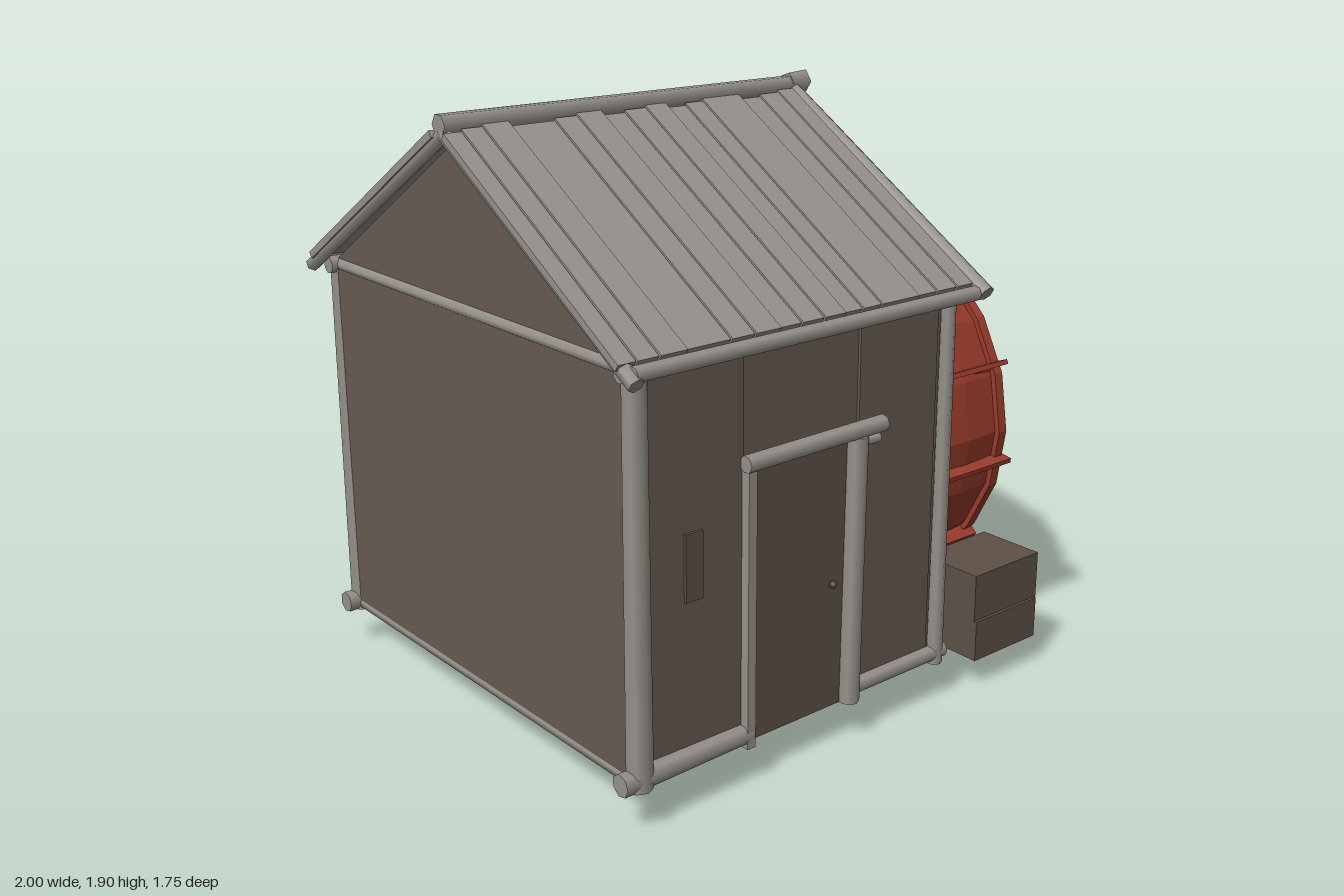
import * as THREE from 'three';

const mat = (name, color, side = THREE.FrontSide) => {
  const m = new THREE.MeshStandardMaterial({ color, side });
  m.name = name;
  return m;
};

export function createModel() {
  const grey = mat('weathered grey wood', 0x96918b);
  const brown = mat('brown board', 0x685b50);
  const red = mat('red wheel', 0x9a3c2c, THREE.DoubleSide);
  const maroon = mat('maroon wall', 0x533830);
  const dark = mat('dark hub', 0x4c423b);
  const stone = mat('brown stone', 0x5e5146);

  const model = new THREE.Group();
  model.name = 'waterMill';
  const group = (name, parent = model) => {
    const g = new THREE.Group();
    g.name = name;
    parent.add(g);
    return g;
  };
  const add = (parent, name, geo, m) => {
    const mesh = new THREE.Mesh(geo, m);
    mesh.name = name;
    parent.add(mesh);
    return mesh;
  };
  // box given by its limits on each axis
  const box = (parent, name, m, x0, x1, y0, y1, z0, z1) => {
    const mesh = add(parent, name, new THREE.BoxGeometry(x1 - x0, y1 - y0, z1 - z0), m);
    mesh.position.set((x0 + x1) / 2, (y0 + y1) / 2, (z0 + z1) / 2);
    return mesh;
  };
  // round pole between two points
  const pole = (parent, name, m, a, b, r0, r1 = r0, sides = 7) => {
    const p = new THREE.Vector3(...a), d = new THREE.Vector3(...b).sub(p);
    const mesh = add(parent, name, new THREE.CylinderGeometry(r1, r0, d.length(), sides), m);
    mesh.position.copy(p).addScaledVector(d, 0.5);
    mesh.quaternion.setFromUnitVectors(new THREE.Vector3(0, 1, 0), d.normalize());
    return mesh;
  };
  // flat panel across the house, outlined in (z, y), starting at x
  const sidePanel = (parent, name, m, x, depth, outline) => {
    const shape = new THREE.Shape(outline.map(([z, y]) => new THREE.Vector2(-z, y)));
    const geo = new THREE.ExtrudeGeometry(shape, { depth, bevelEnabled: false });
    const mesh = add(parent, name, geo, m);
    mesh.rotation.y = Math.PI / 2;
    mesh.position.x = x;
    return mesh;
  };

  // walls: open underneath and open above the low back panels
  const walls = group('walls');
  box(walls, 'rightWall', brown, 0.215, 0.245, 0.15, 1.31, -0.755, 0.755);
  sidePanel(walls, 'rightWallFacing', maroon, 0.246, 0.014, [[-0.74, 0.15], [0.73, 0.15], [0.6, 1.31], [-0.74, 1.31]]);
  box(walls, 'leftWall', brown, -0.94, -0.91, 0.15, 1.31, -0.76, 0.76);
  box(walls, 'frontLeftWall', brown, -0.92, -0.54, 0.15, 1.31, 0.73, 0.76);
  box(walls, 'frontRightWall', brown, -0.1, 0.22, 0.15, 1.31, 0.73, 0.76);
  box(walls, 'wallAboveDoor', brown, -0.54, -0.09, 0.96, 1.31, 0.72, 0.75);
  box(walls, 'backLeftWall', brown, -0.92, -0.41, 0.15, 0.97, -0.76, -0.73);
  box(walls, 'backRightWall', brown, -0.13, 0.22, 0.15, 0.64, -0.76, -0.73);

  // timber frame
  const frame = group('frame');
  for (const z of [-0.765, 0.765]) {
    pole(frame, 'leftPost', grey, [-0.915, 0.13, z], [-0.915, 1.33, z], 0.04, 0.035);
    pole(frame, 'rightPost', grey, [0.255, 0.13, z], [0.255, 1.33, z], 0.027, 0.024);
    pole(frame, 'topBeam', grey, [-0.96, 1.32, z], [0.3, 1.32, z], 0.028);
    pole(frame, 'leftSill', grey, [-0.98, 0.16, z], [z > 0 ? -0.52 : -0.4, 0.16, z], 0.035, 0.03);
    pole(frame, 'rightSill', grey, [-0.12, 0.165, z], [0.29, 0.165, z], 0.025);
  }
  pole(frame, 'backSill', grey, [-0.95, 0.15, -0.765], [0.27, 0.15, -0.765], 0.025);
  for (const x of [-0.92, 0.255]) {
    pole(frame, 'sideTopBeam', grey, [x, 1.32, -0.78], [x, 1.32, 0.78], 0.023);
    pole(frame, 'sideSill', grey, [x, 0.155, -0.78], [x, 0.155, 0.78], 0.025);
  }
  for (const [x, top] of [[-0.12, 0.67], [-0.43, 1.01], [-0.78, 0.97]]) {
    pole(frame, 'backPost', grey, [x, 0.13, -0.77], [x, top, -0.77], 0.035, 0.03);
  }
  pole(frame, 'backLowRail', grey, [-0.17, 0.645, -0.765], [0.25, 0.645, -0.765], 0.022);
  pole(frame, 'backHighRail', grey, [-0.82, 0.97, -0.77], [-0.7, 0.97, -0.77], 0.028);
  pole(frame, 'backPostCap', grey, [-0.49, 0.99, -0.775], [-0.39, 0.99, -0.775], 0.028);

  // door and front details
  const door = group('door');
  box(door, 'doorPanel', stone, -0.52, -0.09, 0.13, 0.97, 0.735, 0.765);
  box(door, 'leftDoorPost', grey, -0.545, -0.515, 0.12, 0.97, 0.75, 0.79);
  pole(door, 'rightDoorPost', grey, [-0.13, 0.13, 0.775], [-0.12, 0.97, 0.775], 0.033);
  pole(door, 'doorPostCap', grey, [-0.14, 0.95, 0.78], [-0.04, 0.95, 0.78], 0.015);
  pole(door, 'doorLintel', grey, [-0.55, 0.985, 0.78], [-0.02, 0.99, 0.78], 0.026);
  const knob = add(door, 'doorKnob', new THREE.SphereGeometry(0.012, 8, 6), dark);
  knob.position.set(-0.205, 0.53, 0.775);
  box(walls, 'wallPlate', stone, -0.75, -0.69, 0.63, 0.83, 0.76, 0.769);

  // roof planks of uneven width, mirrored front to back
  const roof = group('roof');
  const slope = Math.atan2(0.5, 0.81);
  const cuts = [-1, -0.94, -0.87, -0.78, -0.63, -0.55, -0.46, -0.38, -0.3, -0.22, -0.15, -0.08, 0.07, 0.15, 0.23, 0.335];
  for (const s of [1, -1]) {
    for (let i = 0; i < cuts.length - 1; i++) {
      const w = cuts[i + 1] - cuts[i] - 0.003;
      const len = 0.92 + 0.01 * ((i * 7) % 3 - 1);
      const plank = add(roof, 'roofPlank', new THREE.BoxGeometry(w, 0.022, len), grey);
      plank.position.set((cuts[i] + cuts[i + 1]) / 2, 1.59 + 0.004 * (i % 3), s * 0.42);
      plank.rotation.x = s * slope;
    }
    pole(roof, 'eaveBeam', grey, [-0.97, 1.335, s * 0.835], [0.31, 1.335, s * 0.835], 0.023);
    pole(roof, 'leftRafter', grey, [-0.97, 1.31, s * 0.85], [-0.97, 1.83, 0], 0.024, 0.024, 6);
    pole(roof, 'rightRafter', grey, [0.315, 1.335, s * 0.86], [0.315, 1.855, 0], 0.025, 0.023, 6);
  }
  pole(roof, 'ridgeBeam', grey, [-0.99, 1.855, 0], [0.365, 1.86, 0], 0.034, 0.03, 6);
  pole(roof, 'ridgeCap', grey, [0.3, 1.867, 0], [0.37, 1.867, 0], 0.033, 0.038, 5);

  // boarded gables under both roof ends, with a few loose boards
  const triangle = [[-0.79, 1.32], [0.79, 1.32], [0, 1.815]];
  sidePanel(roof, 'leftGable', brown, -0.93, 0.02, triangle);
  sidePanel(roof, 'rightGable', brown, 0.2, 0.02, triangle);
  for (const [z, top] of [[0.29, 1.54], [-0.12, 1.7], [-0.26, 1.62], [0.07, 1.7]]) {
    box(roof, 'gableBoard', brown, 0.22, 0.23, 1.33, top, z - 0.08, z + 0.08);
  }

  // water wheel, built around its own x axis
  const wheel = group('waterWheel');
  wheel.position.set(0, 0.745, -0.025);
  const turn = (name, pts, m, sides) => {
    const g = new THREE.LatheGeometry(pts.map(p => new THREE.Vector2(p[0], p[1])), sides).toNonIndexed();
    g.computeVertexNormals();
    return add(wheel, name, g, m).rotateZ(-Math.PI / 2);
  };
  for (const x of [0.41, 0.715]) {
    turn('rim', [[0.51, x], [0.625, x], [0.625, x + 0.035], [0.51, x + 0.035], [0.51, x]], red, 20);
  }
  turn('drum', [[0.605, 0.42], [0.615, 0.58], [0.605, 0.74]], red, 20);
  for (let i = 0; i < 12; i++) {
    const a = (i + 0.3) * Math.PI / 6, c = Math.cos(a), s = Math.sin(a);
    const b = a + 0.14, cb = Math.cos(b), sb = Math.sin(b);
    pole(wheel, 'outerSpoke', red, [0.74, 0.07 * c, 0.07 * s], [0.725, 0.53 * c, 0.53 * s], 0.026, 0.042, 6);
    pole(wheel, 'innerSpoke', red, [0.44, 0.05 * cb, 0.05 * sb], [0.44, 0.53 * cb, 0.53 * sb], 0.022, 0.036, 6);
    // bucket board inside the rim and paddle edge outside it
    const arm = group('paddle', wheel);
    arm.rotation.x = a;
    const board = box(arm, 'bucketBoard', red, 0.42, 0.74, 0.51, 0.61, -0.012, 0.012);
    board.rotation.x = 0.5;
    box(arm, 'paddleEdge', red, 0.405, 0.76, 0.6, 0.65, -0.008, 0.008);
  }
  turn('hub', [[0, 0.7], [0.14, 0.71], [0.12, 0.77], [0.1, 0.82], [0.085, 0.9], [0, 0.9]], red, 8);
  pole(wheel, 'axle', maroon, [0.24, -0.02, 0], [0.78, 0, 0], 0.045, 0.045, 8);
  pole(wheel, 'axleCollar', maroon, [0.34, 0, 0], [0.43, 0, 0], 0.07, 0.085, 6);
  pole(wheel, 'hubCap', dark, [0.85, 0, 0], [0.915, 0, 0], 0.105, 0.085, 6);
  pole(wheel, 'axleTip', dark, [0.9, 0, 0], [0.945, 0, 0], 0.055, 0.03, 6);

  // tapering slab that carries the axle
  const support = group('axleSupport');
  const slabGeo = new THREE.BoxGeometry(1, 1, 1);
  const pos = slabGeo.attributes.position;
  for (let i = 0; i < pos.count; i++) {
    const up = pos.getY(i) > 0, x = pos.getX(i), z = pos.getZ(i);
    pos.setXYZ(i, up ? 0.86 + x * 0.09 : 0.905 + x * 0.13, up ? 0.66 : 0.05, up ? z * 0.2 : -0.02 + z * 0.42);
  }
  slabGeo.computeVertexNormals();
  add(support, 'supportSlab', slabGeo, grey);
  const foot = add(support, 'supportFoot', new THREE.CylinderGeometry(0.16, 0.2, 0.08, 4, 1), grey);
  foot.geometry.rotateY(Math.PI / 4);
  foot.scale.set(0.95, 1, 1.7);
  foot.position.set(0.865, 0.04, 0.01);

  // stone blocks and rubble under the wheel
  const stones = group('stones');
  const blocks = [
    [0.4, 0.7, 0.23, 0.39, 0.57, 0.8], [0.4, 0.69, 0.1, 0.235, 0.58, 0.81],
    [0.27, 0.42, 0.13, 0.27, 0.44, 0.6], [0.17, 0.4, 0.07, 0.13, 0.4, 0.65],
    [0.3, 0.65, 0.06, 0.12, 0.2, 0.41], [0.3, 0.6, 0.07, 0.12, -0.1, 0.2],
  ];
  for (const b of blocks) box(stones, 'stoneBlock', stone, ...b);
  const rubble = add(stones, 'rubble', new THREE.CylinderGeometry(0.11, 0.16, 0.1, 6), stone);
  rubble.position.set(0.82, 0.06, -0.24);
  pole(stones, 'sidePost', grey, [0.32, 0.09, -0.45], [0.32, 0.11, 0.2], 0.03);
  return model;
}
